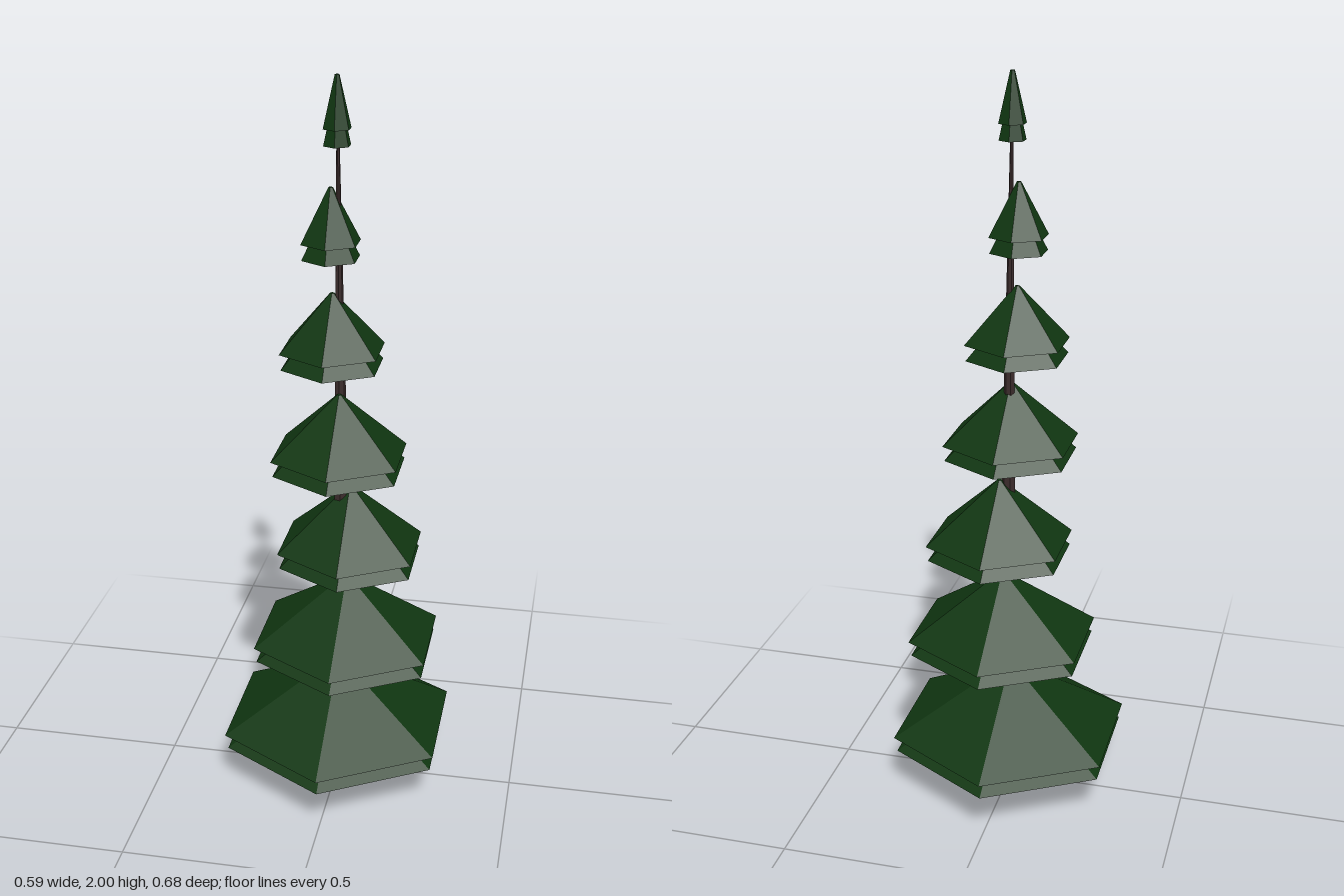
import * as THREE from 'three';

export function createModel() {
  const tree = new THREE.Group();
  tree.name = 'tree';
  const needles = new THREE.MeshStandardMaterial({ color: 0x103611, flatShading: true });
  needles.name = 'needle green';
  const bark = new THREE.MeshStandardMaterial({ color: 0x3a2b2b, flatShading: true });
  bark.name = 'bark brown';

  // Tapered trunk, sheared so that it leans slightly towards the tip
  const height = 1.92;
  const trunkGeometry = new THREE.CylinderGeometry(0.003, 0.034, height, 7, 1);
  trunkGeometry.translate(0, height / 2, 0);
  const p = trunkGeometry.attributes.position;
  for (let i = 0; i < p.count; i++) {
    const t = p.getY(i) / height;
    p.setX(i, p.getX(i) + 0.02 - 0.016 * t);
    p.setZ(i, p.getZ(i) + 0.027 + 0.008 * t);
  }
  trunkGeometry.computeVertexNormals();
  const trunk = new THREE.Mesh(trunkGeometry, bark);
  trunk.name = 'trunk';
  tree.add(trunk);

  // Branch tiers: centre x, centre z, radius, lower rim y, upper rim y, apex y
  const tiers = [
    [0.0, 0.0, 0.34, 0.134, 0.177, 0.372],
    [0.026, 0.016, 0.271, 0.418, 0.46, 0.643],
    [0.035, 0.018, 0.208, 0.7, 0.742, 0.917],
    [0.011, 0.05, 0.19, 0.982, 1.023, 1.188],
    [-0.01, 0.035, 0.144, 1.265, 1.307, 1.457],
    [-0.014, 0.033, 0.08, 1.547, 1.588, 1.727],
    [0.002, 0.031, 0.037, 1.83, 1.871, 2.0],
  ];

  // Six-sided cone with a tiny blunt tip
  const addCone = (parent, name, radius, bottom, top) => {
    const cone = new THREE.Mesh(
      new THREE.CylinderGeometry(0.006, radius, top - bottom, 6, 1), needles);
    cone.position.y = (bottom + top) / 2;
    cone.name = name;
    parent.add(cone);
  };

  // Each tier is a pair of nested cones
  tiers.forEach(([x, z, radius, low, high, apex], i) => {
    const tier = new THREE.Group();
    tier.name = `branchTier${i + 1}`;
    tier.position.set(x, 0, z);
    addCone(tier, 'lowerBranches', radius * 0.975, low, apex - (high - low));
    addCone(tier, 'upperBranches', radius, high, apex);
    tree.add(tier);
  });

  return tree;
}
